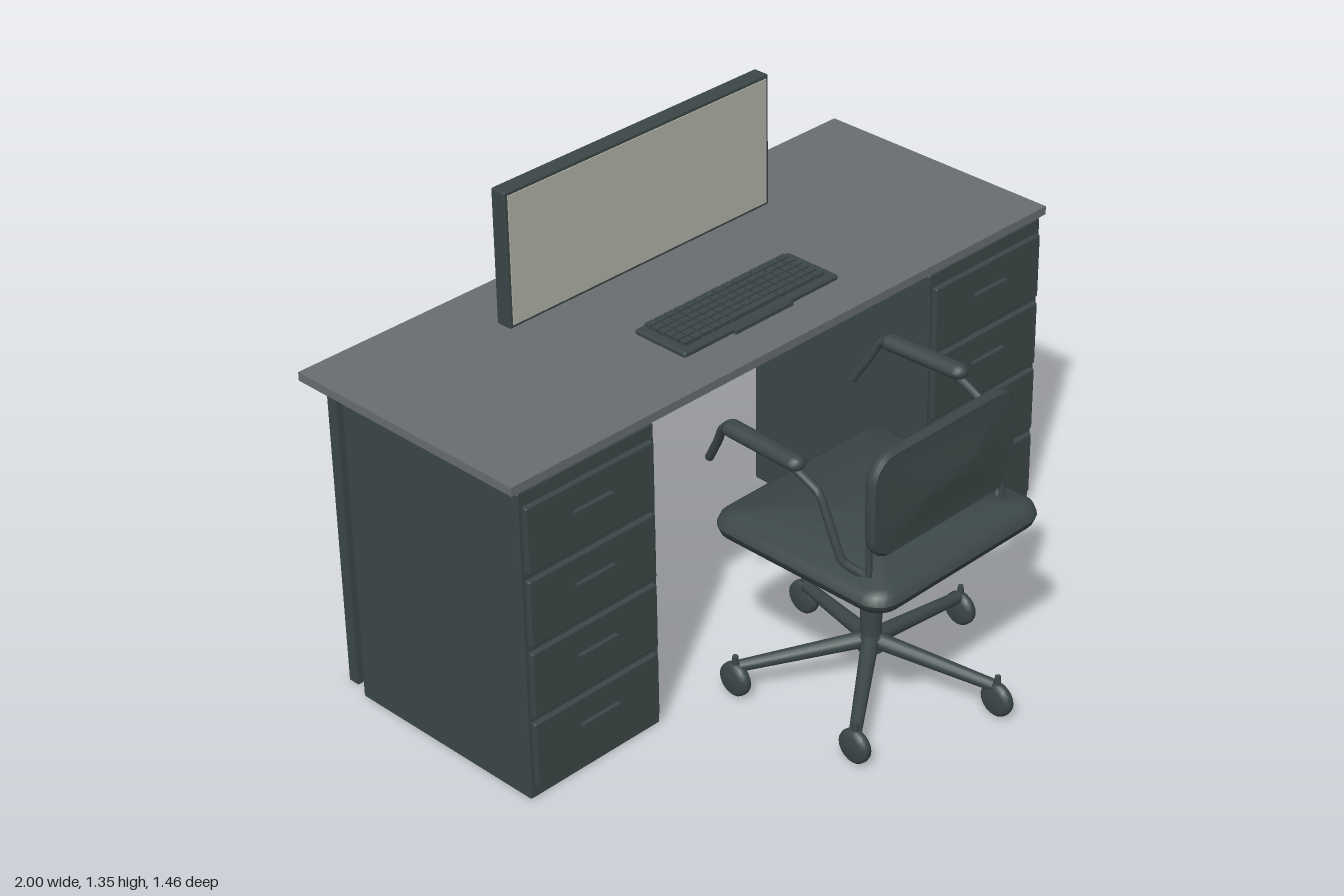
import * as THREE from 'three';
import { toCreasedNormals } from 'three/addons/utils/BufferGeometryUtils.js';
import { RoundedBoxGeometry } from 'three/addons/geometries/RoundedBoxGeometry.js';

const mat = (name, color) => Object.assign(new THREE.MeshStandardMaterial({ color }), { name });

export function createModel() {
  const dark = mat('darkGreyGreen', 0x3c4747);
  const deskGrey = mat('deskGrey', 0x6a6d70);
  const screenGrey = mat('screenPaleGrey', 0xb2b3a7);
  const model = new THREE.Group();
  model.name = 'officeDesk';

  const add = (parent, name, geo, material = dark, x = 0, y = 0, z = 0) => {
    const mesh = new THREE.Mesh(geo, material);
    mesh.name = name;
    mesh.position.set(x, y, z);
    parent.add(mesh);
    return mesh;
  };
  const group = (name, parent = model) => {
    const g = new THREE.Group();
    g.name = name;
    parent.add(g);
    return g;
  };
  // box given by its extents
  const box = (parent, name, [x0, x1], [y0, y1], [z0, z1], material = dark, round = 0) => {
    const s = [x1 - x0, y1 - y0, z1 - z0];
    const geo = round ? new RoundedBoxGeometry(...s, 1, round) : new THREE.BoxGeometry(...s);
    return add(parent, name, geo, material, (x0 + x1) / 2, (y0 + y1) / 2, (z0 + z1) / 2);
  };
  const tube = (parent, name, pts, r) => {
    const path = new THREE.CurvePath();
    const v = pts.map(p => new THREE.Vector3(...p));
    const curve = new THREE.CatmullRomCurve3(v, false, 'catmullrom', 0.15);
    return add(parent, name, new THREE.TubeGeometry(curve, pts.length * 6, r, 10), dark);
  };
  // rod between two points, with its own radius at each end
  const rod = (parent, name, a, b, r0, r1) => {
    const p = new THREE.Vector3(...a), q = new THREE.Vector3(...b);
    const d = q.clone().sub(p);
    const mesh = add(parent, name, new THREE.CylinderGeometry(r1, r0, d.length(), 14));
    mesh.position.copy(p).add(q).multiplyScalar(0.5);
    mesh.quaternion.setFromUnitVectors(new THREE.Vector3(0, 1, 0), d.normalize());
    return mesh;
  };
  // cushion: rounded rectangles stacked along z, each ring is [width, height, radius, z]
  const cushion = rings => {
    const pos = [], idx = [], steps = 5, n = 4 * (steps + 1);
    for (const [w, h, r, z] of rings)
      for (let c = 0; c < 4; c++)
        for (let s = 0; s <= steps; s++) {
          const a = (c + s / steps) * Math.PI / 2;
          const sx = c === 0 || c === 3 ? 1 : -1, sy = c < 2 ? 1 : -1;
          pos.push(sx * (w / 2 - r) + r * Math.cos(a), sy * (h / 2 - r) + r * Math.sin(a), z);
        }
    for (let k = 0; k < rings.length - 1; k++)
      for (let i = 0; i < n; i++) {
        const a = k * n + i, b = k * n + (i + 1) % n;
        idx.push(a, b, b + n, a, b + n, a + n);
      }
    const geo = new THREE.BufferGeometry();
    geo.setAttribute('position', new THREE.Float32BufferAttribute(pos, 3));
    geo.setIndex(idx);
    return toCreasedNormals(geo, 0.7);
  };

  // desk: top, drawer cabinets and rear legs
  const desk = group('desk');
  box(desk, 'deskTop', [-1, 1], [0.925, 0.95], [-0.73, 0.065], deskGrey);
  for (const side of [-1, 1]) {
    const cab = group(side > 0 ? 'leftCabinet' : 'rightCabinet', desk);
    const span = (a, b) => side > 0 ? [a, b] : [-b, -a];
    box(cab, 'cabinetBody', span(0.52, 0.98), [0, 0.92], [-0.59, 0.062], dark, 0.005);
    box(cab, 'topSpacer', span(0.905, 0.945), [0.915, 0.927], [-0.04, 0]);
    box(cab, 'rearLeg', span(0.922, 0.957), [0, 0.925], [-0.675, -0.64]);
    for (let i = 0; i < 4; i++) {
      const y = 0.04 + i * 0.2145;
      box(cab, 'drawerFront', span(0.533, 0.967), [y, y + 0.195], [0.055, 0.077], dark, 0.005);
      box(cab, 'drawerHandle', span(0.685, 0.815), [y + 0.113, y + 0.121], [0.07, 0.09]);
    }
  }

  // monitor
  const monitor = group('monitor');
  box(monitor, 'monitorCase', [-0.483, 0.483], [0.95, 1.345], [-0.55, -0.5], dark, 0.004);
  box(monitor, 'screen', [-0.473, 0.473], [0.96, 1.335], [-0.504, -0.497], screenGrey);

  // keyboard
  const keyboard = group('keyboard');
  box(keyboard, 'keyboardBase', [-0.288, 0.288], [0.957, 0.973], [-0.24, -0.057], dark, 0.006);
  box(keyboard, 'keyboardLip', [-0.11, 0.105], [0.958, 0.969], [-0.07, -0.048]);
  box(keyboard, 'keyboardFeet', [-0.25, 0.25], [0.95, 0.96], [-0.21, -0.09]);
  for (let r = 0; r < 6; r++)
    for (let c = 0; c < 15; c++) {
      if (r === 5 && c > 4 && c < 10) continue;
      const x = -0.262 + c * 0.035, z = -0.23 + r * 0.0255;
      box(keyboard, 'key', [x, x + 0.029], [0.972, 0.984], [z, z + 0.02]);
    }
  box(keyboard, 'spaceBar', [-0.087, 0.082], [0.972, 0.984], [-0.1025, -0.0825]);

  // chair seat and backrest
  const chair = group('chair');
  const CZ = 0.335;
  const seat = add(chair, 'seat', cushion([
    [0, 0, 0, -0.035], [0.59, 0.55, 0.04, -0.035], [0.633, 0.59, 0.06, -0.022], [0.65, 0.61, 0.07, 0],
    [0.633, 0.59, 0.06, 0.022], [0.59, 0.55, 0.04, 0.035], [0, 0, 0, 0.035],
  ]), dark, 0, 0.525, 0.35);
  seat.rotation.x = -Math.PI / 2;
  add(chair, 'backrest', cushion([
    [0, 0, 0, -0.004], [0.48, 0.24, 0.05, -0.012], [0.53, 0.285, 0.07, -0.012], [0.55, 0.305, 0.08, 0],
    [0.55, 0.305, 0.08, 0.012], [0.53, 0.285, 0.07, 0.022], [0.49, 0.245, 0.055, 0.022],
    [0.2, 0.06, 0.02, 0.04], [0, 0, 0, 0.043],
  ]), dark, 0, 0.758, 0.557);

  // back posts and armrests, mirrored
  for (const s of [-1, 1]) {
    rod(chair, 'backPost', [s * 0.257, 0.53, 0.553], [s * 0.257, 0.74, 0.553], 0.009, 0.009);
    const arm = group(s > 0 ? 'leftArmrest' : 'rightArmrest', chair);
    tube(arm, 'armTube', [
      [s * 0.255, 0.555, 0.545], [s * 0.295, 0.6, 0.495], [s * 0.308, 0.775, 0.43], [s * 0.31, 0.82, 0.33],
      [s * 0.305, 0.832, 0.2], [s * 0.298, 0.822, 0.09], [s * 0.285, 0.76, 0.055], [s * 0.272, 0.685, 0.01],
    ], 0.012);
    const pad = add(arm, 'armPad', new THREE.CapsuleGeometry(0.028, 0.225, 5, 14), dark, s * 0.305, 0.832, 0.235);
    pad.scale.z = 0.8;
    pad.rotation.set(Math.PI / 2, 0, -s * 0.04);
  }

  // gas column and five-star base on wheels
  rod(chair, 'column', [0, 0.11, CZ], [0, 0.5, CZ], 0.03, 0.03);
  add(chair, 'hub', new THREE.CylinderGeometry(0.036, 0.036, 0.05, 16), dark, 0, 0.13, CZ);
  const wheelProfile = [[0, -0.021], [0.036, -0.019], [0.048, -0.01], [0.05, 0], [0.048, 0.01], [0.036, 0.019], [0, 0.021]]
    .map(p => new THREE.Vector2(...p));
  const wheelGeo = new THREE.LatheGeometry(wheelProfile, 20);
  for (let i = 0; i < 5; i++) {
    const a = i * Math.PI * 2 / 5;
    const x = 0.365 * Math.cos(a), z = CZ + 0.365 * Math.sin(a);
    rod(chair, 'baseArm', [0, 0.138, CZ], [x * 0.97, 0.092, CZ + (z - CZ) * 0.97], 0.024, 0.017);
    const wheel = add(chair, 'casterWheel', wheelGeo, dark, x, 0.052, z);
    wheel.rotation.z = Math.PI / 2;
    rod(chair, 'casterPin', [x, 0.07, z], [x, 0.125, z], 0.011, 0.008);
  }
  return model;
}
